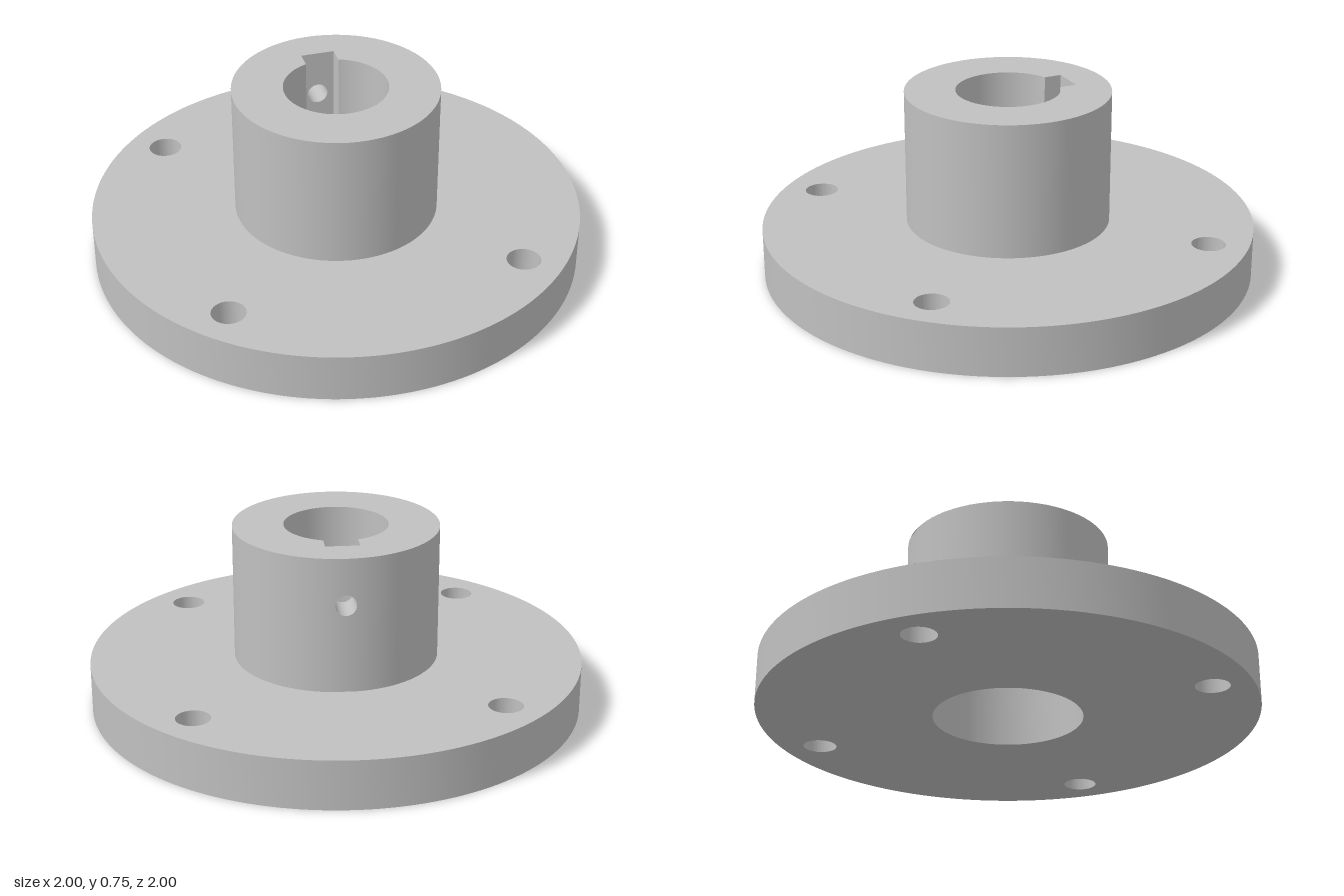
import * as THREE from 'three';
import { toCreasedNormals } from 'three/addons/utils/BufferGeometryUtils.js';

const SEG = 96;
const FLANGE_R = 1, FLANGE_H = 0.2;
const HUB_R = 0.415, TOP = 0.75;
const BORE_R = 0.21, RECESS_R = 0.3, RECESS_TOP = 0.34;
const KEY_W = 0.068, KEY_Z = 0.27; // half width and reach of the keyway
const SCREW_R = 0.042, SCREW_Y = 0.56;
const BOLT = 0.595, BOLT_R = 0.068;

function circle(Type, x, y, r) {
  const c = new Type();
  c.absarc(x, y, r, 0, Math.PI * 2, false);
  return c;
}

// Upright rectangle, optionally pierced by the set screw hole
function piercedRect(halfWidth, y0, y1) {
  const s = new THREE.Shape();
  s.moveTo(-halfWidth, y0).lineTo(halfWidth, y0).lineTo(halfWidth, y1).lineTo(-halfWidth, y1);
  s.closePath();
  s.holes.push(circle(THREE.Path, 0, SCREW_Y, SCREW_R));
  return new THREE.ShapeGeometry(s, 16);
}

// Open cylinder wall, leaving a gap of the given half angle at the back
function wall(r, y0, y1, gap = 0) {
  return new THREE.CylinderGeometry(r, r, y1 - y0, SEG, 1, true, Math.PI + gap, 2 * (Math.PI - gap))
    .translate(0, (y0 + y1) / 2, 0);
}

export function createModel() {
  const model = new THREE.Group();
  model.name = 'flangedHub';
  const steel = new THREE.MeshStandardMaterial({ color: 0xc0c0c0, side: THREE.DoubleSide });
  steel.name = 'grey steel';

  const add = (parent, name, geometry) => {
    const mesh = new THREE.Mesh(geometry, steel);
    mesh.name = name;
    parent.add(mesh);
  };

  // Flange with four bolt holes
  const disc = circle(THREE.Shape, 0, 0, FLANGE_R);
  disc.holes.push(circle(THREE.Path, 0, 0, RECESS_R));
  for (const x of [-BOLT, BOLT])
    for (const y of [-BOLT, BOLT]) disc.holes.push(circle(THREE.Path, x, y, BOLT_R));
  const flange = new THREE.ExtrudeGeometry(disc, { depth: FLANGE_H, bevelEnabled: false, curveSegments: SEG });
  add(model, 'flange', toCreasedNormals(flange.rotateX(-Math.PI / 2), 0.5));

  const hub = new THREE.Group();
  hub.name = 'hub';
  model.add(hub);

  // Hub outer wall, with a curved panel at the back holding the screw hole
  const gap = 0.13;
  add(hub, 'hubWall', wall(HUB_R, FLANGE_H, TOP, gap));
  const panel = piercedRect(HUB_R * Math.sin(gap), FLANGE_H, TOP);
  const p = panel.attributes.position, n = panel.attributes.normal;
  for (let i = 0; i < p.count; i++) {
    const x = -p.getX(i), z = -Math.sqrt(HUB_R ** 2 - x * x);
    p.setXYZ(i, x, p.getY(i), z);
    n.setXYZ(i, x / HUB_R, 0, z / HUB_R);
  }
  add(hub, 'screwPanel', panel);

  // Top face and inner step share the keyed bore outline
  const keyAngle = Math.asin(KEY_W / BORE_R);
  const ringFace = (r, y) => {
    const s = circle(THREE.Shape, 0, 0, r);
    const bore = new THREE.Path();
    bore.absarc(0, 0, BORE_R, Math.PI / 2 + keyAngle, Math.PI * 2.5 - keyAngle, false);
    bore.lineTo(KEY_W, KEY_Z).lineTo(-KEY_W, KEY_Z);
    bore.closePath();
    s.holes.push(bore);
    return new THREE.ShapeGeometry(s, SEG).rotateX(-Math.PI / 2).translate(0, y, 0);
  };
  add(hub, 'hubTop', ringFace(HUB_R, TOP));
  add(hub, 'recessStep', ringFace(RECESS_R, RECESS_TOP));

  // Bore and the wider recess below it
  add(hub, 'recessWall', wall(RECESS_R, FLANGE_H, RECESS_TOP));
  add(hub, 'boreWall', wall(BORE_R, RECESS_TOP, TOP, keyAngle));

  // Keyway
  const keyStart = BORE_R * Math.cos(keyAngle);
  for (const side of [-1, 1]) {
    add(hub, 'keywaySide', new THREE.PlaneGeometry(KEY_Z - keyStart, TOP - RECESS_TOP)
      .rotateY(-side * Math.PI / 2)
      .translate(side * KEY_W, (TOP + RECESS_TOP) / 2, -(KEY_Z + keyStart) / 2));
  }
  add(hub, 'keywayFloor', piercedRect(KEY_W, RECESS_TOP, TOP).translate(0, 0, -KEY_Z));

  // Set screw hole, running from the keyway to the outer wall
  const screw = new THREE.CylinderGeometry(SCREW_R, SCREW_R, 1, 32, 1, true).rotateX(Math.PI / 2);
  const q = screw.attributes.position;
  for (let i = 0; i < q.count; i++) {
    const x = q.getX(i);
    q.setXYZ(i, x, q.getY(i) + SCREW_Y, q.getZ(i) > 0 ? -KEY_Z : -Math.sqrt(HUB_R ** 2 - x * x));
  }
  add(hub, 'screwHole', screw);

  return model;
}
